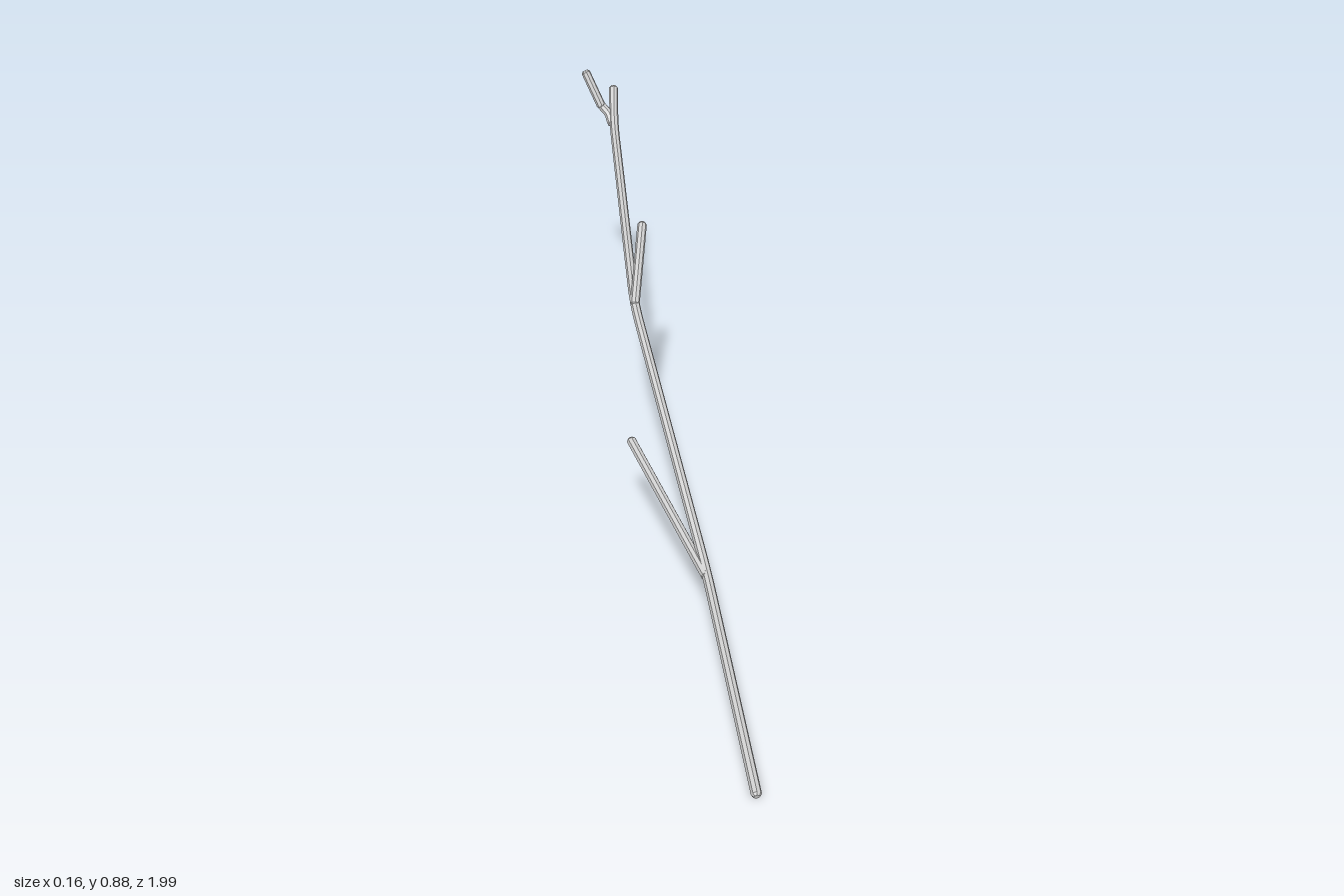
import * as THREE from 'three';

const RADIUS = 0.0125;
const SIDES = 8;
const UP = new THREE.Vector3(0, 1, 0);

// Straight runs joined by softly rounded bends
function bentPath(points, bend) {
  const p = points.map((q) => new THREE.Vector3(...q));
  const path = new THREE.CurvePath();
  let from = p[0];
  for (let i = 1; i < p.length - 1; i++) {
    const toward = (q) => p[i].clone().add(
      q.clone().sub(p[i]).setLength(Math.min(bend, p[i].distanceTo(q) * 0.4)));
    const a = toward(p[i - 1]), b = toward(p[i + 1]);
    path.add(new THREE.LineCurve3(from, a));
    path.add(new THREE.QuadraticBezierCurve3(a, p[i], b));
    from = b;
  }
  path.add(new THREE.LineCurve3(from, p[p.length - 1]));
  return path;
}

export function createModel() {
  const model = new THREE.Group();
  const material = new THREE.MeshStandardMaterial({ color: 0xcccccc, flatShading: true });

  // A faceted rod with a bevelled cap on each end
  function addRod(name, points, bend, segments) {
    const rod = new THREE.Group();
    rod.name = name;
    const path = bentPath(points, bend);
    const shaft = new THREE.Mesh(
      new THREE.TubeGeometry(path, segments, RADIUS, SIDES, false), material);
    shaft.name = name + 'Shaft';
    rod.add(shaft);

    const capLength = RADIUS * 0.5;
    for (const t of [0, 1]) {
      const outward = path.getTangentAt(t).multiplyScalar(t ? 1 : -1);
      const cap = new THREE.Mesh(
        new THREE.CylinderGeometry(RADIUS * 0.6, RADIUS, capLength, SIDES), material);
      cap.name = name + (t ? 'Tip' : 'Base');
      cap.position.copy(path.getPointAt(t)).addScaledVector(outward, capLength / 2);
      cap.quaternion.setFromUnitVectors(UP, outward);
      rod.add(cap);
    }
    model.add(rod);
  }

  // Long main stem, rising toward the back
  addRod('mainStem', [
    [0.031, 0.014, 0.992], [0.041, 0.18, 0.42], [-0.006, 0.53, -0.27],
    [0.051, 0.75, -0.9], [0.065, 0.823, -0.982],
  ], 0.06, 96);

  // Side twigs leaving the stem at its bends
  addRod('lowerTwig', [[0.037, 0.178, 0.43], [-0.067, 0.3, 0.013]], 0, 1);
  addRod('middleTwig', [[-0.005, 0.53, -0.27], [0.05, 0.659, -0.46]], 0, 1);

  // Top twig: a short stub, then a long fork arm
  addRod('topTwigStub', [[0.046, 0.75, -0.905], [0.042, 0.77, -0.928], [0.024, 0.79, -0.942]], 0.01, 12);
  addRod('topTwig', [[0.022, 0.792, -0.94], [-0.013, 0.876, -0.982]], 0, 1);

  return model;
}
